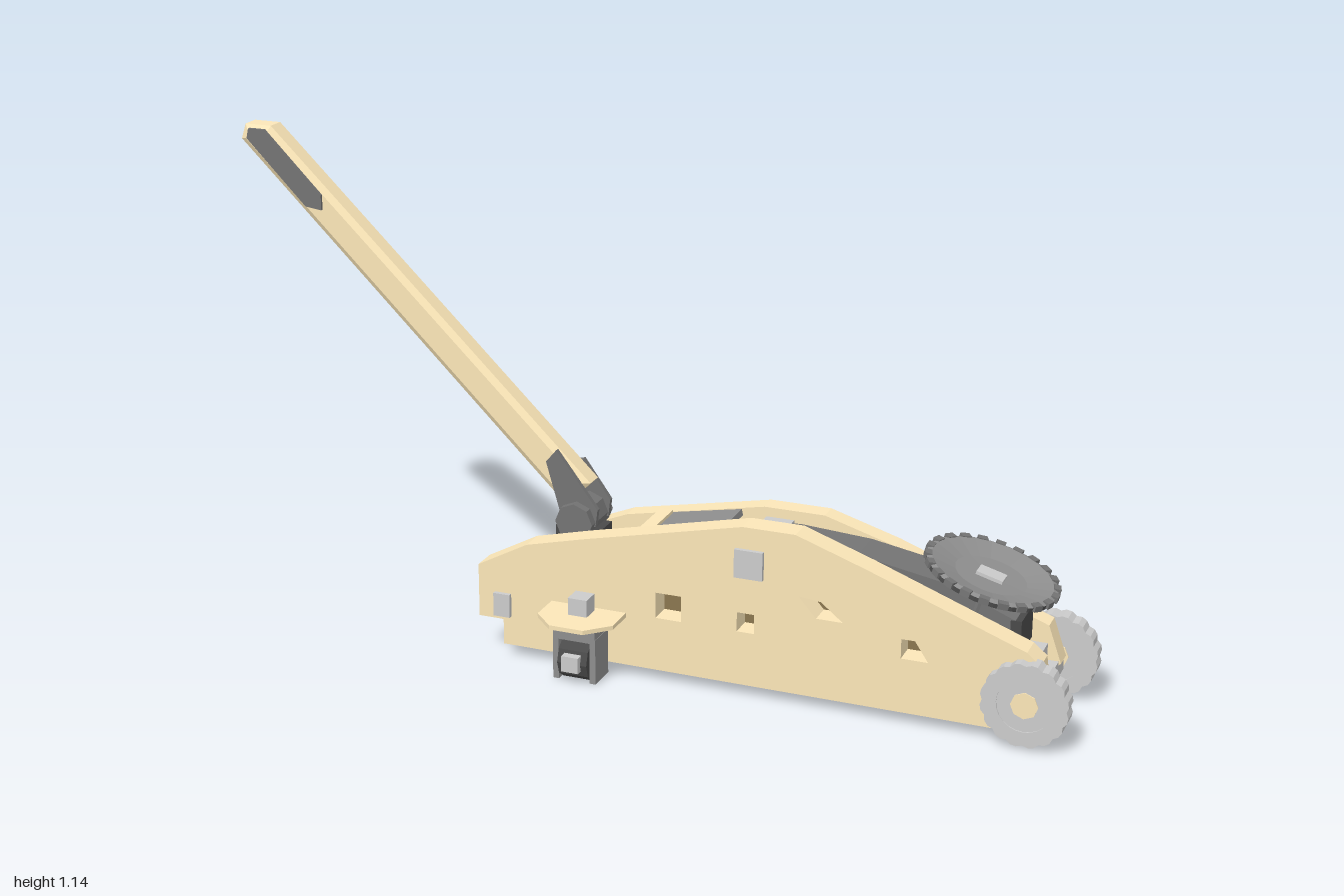
import * as THREE from 'three';

const paint = (color) => new THREE.MeshStandardMaterial({ color, flatShading: true, side: THREE.DoubleSide });
const TAN = paint(0xfbe6b8), BROWN = paint(0x8a7650), GREY = paint(0x8e8e8e), MID = paint(0x747474);
const DARK = paint(0x4a4a4a), LIGHT = paint(0xf6f6f4), TYRE = paint(0xbebebe), STEEL = paint(0xe4e4f6);

export function createModel() {
  const root = new THREE.Group();

  const add = (name, geo, mat, x = 0, y = 0, z = 0, parent = root) => {
    const m = new THREE.Mesh(geo, mat);
    m.name = name;
    m.position.set(x, y, z);
    parent.add(m);
    return m;
  };
  // Box given by its limits on each axis
  const box = (name, mat, [x0, x1], [y0, y1], [z0, z1], parent = root) =>
    add(name, new THREE.BoxGeometry(x1 - x0, y1 - y0, z1 - z0), mat, (x0 + x1) / 2, (y0 + y1) / 2, (z0 + z1) / 2, parent);
  const shapeOf = (pts) => new THREE.Shape(pts.map(([x, y]) => new THREE.Vector2(x, y)));
  const extrude = (shape, depth) => new THREE.ExtrudeGeometry(shape, { depth, bevelEnabled: false });
  // Cylinders lying along z and along x
  const disc = (name, mat, r, depth, sides, x, y, z, parent = root) =>
    add(name, new THREE.CylinderGeometry(r, r, depth, sides).rotateX(Math.PI / 2), mat, x, y, z, parent);
  const alongX = (r, len, sides) => new THREE.CylinderGeometry(r, r, len, sides).rotateZ(Math.PI / 2);

  // Side plates with recessed cut-outs
  const cutouts = [
    [[0.07, 0.155], [0.13, 0.155], [0.13, 0.215], [0.07, 0.215]],
    [[0.26, 0.155], [0.3, 0.155], [0.3, 0.2], [0.26, 0.2]],
    [[0.4, 0.26], [0.45, 0.255], [0.5, 0.215], [0.44, 0.215]],
    [[0.63, 0.155], [0.69, 0.155], [0.66, 0.2], [0.63, 0.2]],
  ];
  const sidePlate = (name, outline, z, depth, linerZ) => {
    const s = shapeOf(outline);
    for (const c of cutouts) {
      s.holes.push(new THREE.Path(c.map(([x, y]) => new THREE.Vector2(x, y))));
      add('recessFloor', extrude(shapeOf(c), 0.004), BROWN, 0, 0, linerZ);
    }
    add(name, extrude(s, depth), TAN, 0, 0, z);
  };
  sidePlate('frontSidePlate', [[-0.3, 0.03], [0.84, 0.03], [0.94, 0.12], [0.93, 0.19], [0.9, 0.215], [0.55, 0.345],
    [0.39, 0.4], [0.27, 0.4], [-0.1, 0.315], [-0.24, 0.28], [-0.36, 0.215], [-0.36, 0.09], [-0.3, 0.09]], 0.062, 0.058, 0.063);
  sidePlate('backSidePlate', [[-0.28, 0.03], [0.84, 0.03], [0.93, 0.11], [0.9, 0.195], [0.55, 0.325],
    [0.39, 0.372], [0.25, 0.372], [-0.08, 0.305], [-0.2, 0.255], [-0.28, 0.2]], -0.125, 0.047, -0.083);

  // Top cover, cross members and through pins
  const cover = box('topCover', GREY, [0, 0.2], [0.325, 0.34], [-0.11, 0.08]);
  cover.rotation.z = 0.19;
  box('crossMember', TAN, [0.005, 0.035], [0.29, 0.335], [-0.07, 0.06]);
  box('armPivotPin', LIGHT, [0.255, 0.32], [0.285, 0.35], [-0.15, 0.13]);
  box('rearPin', LIGHT, [-0.32, -0.28], [0.1, 0.155], [-0.15, 0.13]);

  // Hydraulic cylinder with its ram
  add('hydraulicCylinder', alongX(0.065, 0.4, 8), STEEL, -0.12, 0.125, -0.008);
  add('hydraulicRam', alongX(0.03, 0.2, 8), LIGHT, 0.18, 0.14, -0.008);
  box('pumpBlock', STEEL, [-0.12, 0], [0.14, 0.2], [-0.07, 0.055]);

  // Lifting arm
  add('liftArm', extrude(shapeOf([[0.23, 0.34], [0.34, 0.345], [0.5, 0.335], [0.7, 0.3], [0.85, 0.24],
    [0.86, 0.165], [0.78, 0.165], [0.6, 0.24], [0.3, 0.26]]), 0.1), MID, 0, 0, -0.075);
  box('armEnd', DARK, [0.84, 0.864], [0.163, 0.24], [-0.076, 0.026]);

  // Tilted saddle dish with a toothed rim
  const saddle = new THREE.Group();
  saddle.name = 'saddle';
  saddle.position.set(0.783, 0.318, -0.018);
  saddle.rotation.z = -0.27;
  root.add(saddle);
  const lathe = (pts) => new THREE.LatheGeometry(pts.map((p) => new THREE.Vector2(...p)), 22);
  add('saddleUnderside', lathe([[0, -0.03], [0.07, -0.03], [0.146, -0.002], [0.146, 0.008]]), DARK, 0, 0, 0, saddle);
  add('saddleTop', lathe([[0.146, 0.008], [0.135, 0.012], [0.08, -0.002], [0, -0.004]]), GREY, 0, 0, 0, saddle);
  for (let i = 0; i < 22; i++) {
    const a = (i / 22) * Math.PI * 2;
    const tooth = add('saddleTooth', new THREE.BoxGeometry(0.016, 0.014, 0.022), MID, 0.142 * Math.cos(a), 0.007, 0.142 * Math.sin(a), saddle);
    tooth.rotation.y = -a;
  }
  box('saddleBolt', LIGHT, [-0.03, 0.03], [-0.01, 0.004], [-0.02, 0.02], saddle);
  add('saddleStem', new THREE.CylinderGeometry(0.045, 0.045, 0.07, 10), MID, 0, -0.055, 0, saddle);

  // Front wheels: ridged tyre, hub and axle
  for (const z of [0.125, -0.147]) {
    const wheel = new THREE.Group();
    wheel.name = 'frontWheel';
    wheel.position.set(0.905, 0.105, z);
    root.add(wheel);
    const tyre = new THREE.Shape();
    for (let i = 0; i < 48; i++) {
      const a = (i / 48) * Math.PI * 2, r = i % 3 ? 0.095 : 0.09;
      tyre[i ? 'lineTo' : 'moveTo'](r * Math.cos(a), r * Math.sin(a));
    }
    tyre.holes.push(new THREE.Path().absarc(0, 0, 0.06, 0, Math.PI * 2, true));
    add('tyre', extrude(tyre, 0.04), TYRE, 0, 0, -0.02, wheel);
    disc('wheelDisc', TYRE, 0.062, 0.034, 16, 0, 0, 0, wheel);
    disc('hub', TAN, 0.03, 0.039, 8, 0, 0, 0, wheel);
  }
  box('frontAxle', LIGHT, [0.885, 0.925], [0.075, 0.115], [-0.13, 0.11]);
  box('axleBlock', LIGHT, [0.84, 0.9], [0.1, 0.155], [-0.075, 0.065]);

  // Rear casters under thin chamfered side brackets
  for (const [s, edge, end, zc] of [[1, 0.11, 0.245, 0.155], [-1, 0.115, 0.25, 0.177]]) {
    const c = s > 0 ? 0.05 : 0.003;
    const g = extrude(shapeOf([[-0.18, edge], [0, edge], [0, end - c], [-c, end], [-0.18 + c, end], [-0.18, end - c]]), 0.01);
    g.rotateX(Math.PI / 2);
    if (s < 0) g.rotateX(Math.PI).translate(0, -0.01, 0);
    add('casterBracket', g, TAN, 0, 0.155, 0);
    const z = s * zc;
    box('casterBolt', LIGHT, [-0.115, -0.07], [0.15, 0.195], [z - 0.022, z + 0.022]);
    box('casterTop', GREY, [-0.145, -0.045], [0.1, 0.145], [z - 0.036, z + 0.036]);
    for (const side of [-1, 1]) {
      const x = -0.095 + side * 0.044;
      box('casterFork', GREY, [x - 0.007, x + 0.007], [0.004, 0.11], [z - 0.036, z + 0.036]);
    }
    add('casterWheel', alongX(0.05, 0.07, 10), DARK, -0.095, 0.05, z);
    box('casterAxle', LIGHT, [-0.115, -0.075], [0.035, 0.072], [z - 0.03, z + (s > 0 ? 0.062 : 0.03)]);
  }
  const web = add('bracketWeb', new THREE.PlaneGeometry(0.12, 0.125).rotateY(Math.PI / 2), TAN.clone(), -0.172, 0.0925, -0.185);
  web.material.side = THREE.FrontSide;

  // Handle socket
  add('handleSocket', extrude(shapeOf([[-0.22, 0.37], [-0.2, 0.3], [-0.12, 0.3], [-0.115, 0.34], [-0.215, 0.47], [-0.24, 0.44]]), 0.012), MID, 0, 0, -0.002);
  add('handleSocket', extrude(shapeOf([[-0.22, 0.37], [-0.2, 0.3], [-0.12, 0.3], [-0.115, 0.34], [-0.18, 0.43], [-0.23, 0.42]]), 0.012), MID, 0, 0, -0.075);
  disc('socketPivot', MID, 0.045, 0.12, 8, -0.165, 0.31, -0.03);
  box('socketYoke', DARK, [-0.22, -0.11], [0.18, 0.29], [-0.06, 0.005]);

  // Handle bar with bevelled edges and a level-cut tip
  const bar = shapeOf([[-0.2, 0.335], [-0.14, 0.395], [-0.92, 1.145], [-0.985, 1.145], [-0.997, 1.11]]);
  add('handleBar', new THREE.ExtrudeGeometry(bar, {
    depth: 0.042, bevelThickness: 0.01, bevelSize: 0.014, bevelOffset: -0.014, bevelSegments: 1,
  }), TAN, 0, 0, -0.052);

  // Grip pads on both faces of the handle
  const pad = shapeOf([[-0.975, 1.115], [-0.97, 1.138], [-0.93, 1.138], [-0.79, 1.0], [-0.79, 0.965], [-0.83, 0.97]]);
  for (const z of [-0.066, -0.002]) add('gripPad', extrude(pad, 0.008), MID, 0, 0, z);

  return root;
}
